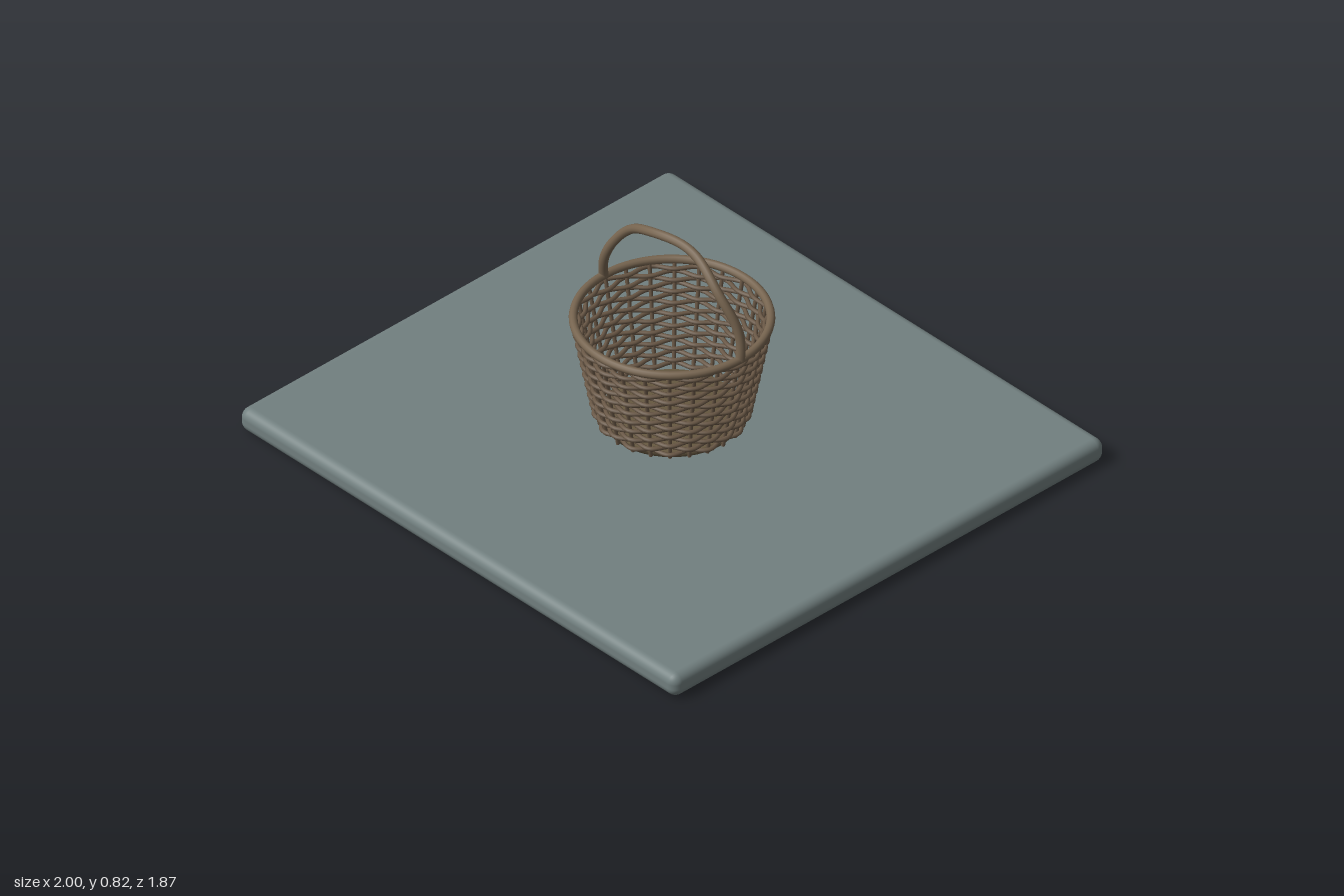
import * as THREE from 'three';
import { RoundedBoxGeometry } from 'three/addons/geometries/RoundedBoxGeometry.js';

const slate = new THREE.MeshStandardMaterial({ color: 0x728080 });
slate.name = 'slate';
const wicker = new THREE.MeshStandardMaterial({ color: 0x6a5846 });
wicker.name = 'wicker';
const cane = new THREE.MeshStandardMaterial({ color: 0x76644f });
cane.name = 'cane';
const baseWood = new THREE.MeshStandardMaterial({ color: 0x665840 });
baseWood.name = 'baseWood';

const STAKES = 24;
const BOTTOM = 0.135, TOP = 0.497;
const wallRadius = (y) => THREE.MathUtils.lerp(0.236, 0.306, (y - BOTTOM) / (TOP - BOTTOM));

// A curve defined by a function of t in 0..1
class PathCurve extends THREE.Curve {
  constructor(fn) { super(); this.fn = fn; }
  getPoint(t, target = new THREE.Vector3()) { return target.set(...this.fn(t)); }
}

export function createModel() {
  const group = new THREE.Group();
  const add = (parent, name, geometry, material) => {
    const mesh = new THREE.Mesh(geometry, material);
    mesh.name = name;
    parent.add(mesh);
    return mesh;
  };

  // Rounded slab
  add(group, 'slab', new RoundedBoxGeometry(2, 0.085, 1.87, 4, 0.034), slate).position.y = 0.0425;

  const basket = new THREE.Group();
  basket.name = 'basket';
  group.add(basket);

  // Basket floor with softly blended edges
  const floorProfile = [[0, 0.113], [0.22, 0.113], [0.22, 0.135], [0, 0.135]]
    .map(([x, y]) => new THREE.Vector2(x, y));
  add(basket, 'basketFloor', new THREE.LatheGeometry(floorProfile, 48), baseWood);

  // Upright stakes leaning outwards
  for (let i = 0; i < STAKES; i++) {
    const a = (i / STAKES) * Math.PI * 2;
    const at = (y) => {
      const r = wallRadius(y);
      return new THREE.Vector3(r * Math.cos(a), y, r * Math.sin(a));
    };
    const line = new THREE.LineCurve3(at(0.122), at(TOP));
    add(basket, 'stake', new THREE.TubeGeometry(line, 1, 0.0065, 8), wicker);
  }

  // Woven strands passing in front of and behind alternate stakes
  const rows = 18;
  for (let row = 0; row < rows; row++) {
    const y = 0.142 + (row / (rows - 1)) * 0.332;
    const side = row % 2 ? 1 : -1;
    const strand = new PathCurve((t) => {
      const a = t * Math.PI * 2;
      const r = wallRadius(y) + side * 0.011 * Math.cos(a * STAKES / 2);
      return [r * Math.cos(a), y, r * Math.sin(a)];
    });
    add(basket, 'wovenStrand', new THREE.TubeGeometry(strand, 144, 0.0075, 7, true), wicker);
  }

  // Rim
  const rim = add(basket, 'rim', new THREE.TorusGeometry(0.311, 0.014, 12, 72), cane);
  rim.rotation.x = Math.PI / 2;
  rim.position.y = TOP;

  // Wavy arched handle
  const arch = new PathCurve((t) => {
    const a = Math.PI * (1 - t);
    return [0.311 * Math.cos(a), 0.495 + 0.306 * Math.sin(a), 0.009 * Math.sin(6 * Math.PI * t)];
  });
  add(basket, 'handle', new THREE.TubeGeometry(arch, 80, 0.0155, 12), cane);

  return group;
}
